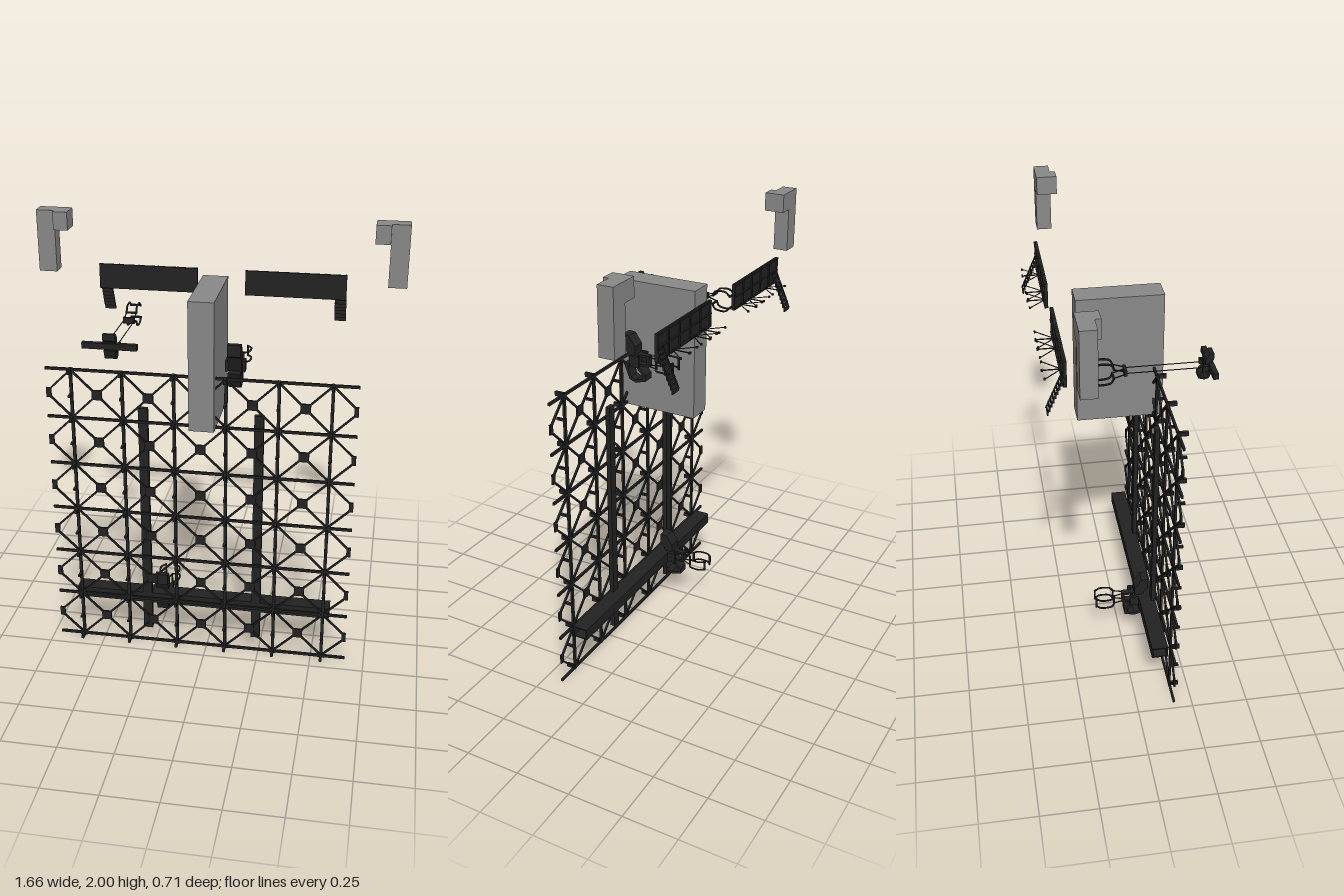
import * as THREE from 'three';

const dark = new THREE.MeshStandardMaterial({ color: 0x222222, side: THREE.DoubleSide });
const grey = new THREE.MeshStandardMaterial({ color: 0x888888 });

function add(parent, name, geometry, material = dark) {
  const mesh = new THREE.Mesh(geometry, material);
  mesh.name = name;
  parent.add(mesh);
  return mesh;
}

function group(parent, name) {
  const g = new THREE.Group();
  g.name = name;
  parent.add(g);
  return g;
}

// Box given by its lower and upper limits
function box(parent, name, x0, x1, y0, y1, z0, z1, material = dark) {
  const mesh = add(parent, name, new THREE.BoxGeometry(x1 - x0, y1 - y0, z1 - z0), material);
  mesh.position.set((x0 + x1) / 2, (y0 + y1) / 2, (z0 + z1) / 2);
  return mesh;
}

// Square bar between two points
function bar(parent, name, a, b, w, d = w) {
  const p = new THREE.Vector3(...a), q = new THREE.Vector3(...b);
  const mesh = add(parent, name, new THREE.BoxGeometry(w, d, p.distanceTo(q)));
  mesh.position.copy(p).add(q).multiplyScalar(0.5);
  mesh.lookAt(q);
  return mesh;
}

// Side profile of [z, y] points, extruded across x and centred
function sideProfile(parent, name, points, width, hole) {
  const toVec = (p) => new THREE.Vector2(p[0], p[1]);
  const shape = new THREE.Shape(points.map(toVec));
  if (hole) shape.holes.push(new THREE.Path(hole.map(toVec)));
  const geometry = new THREE.ExtrudeGeometry(shape, { depth: width, bevelEnabled: false });
  geometry.translate(0, 0, -width / 2).rotateY(-Math.PI / 2);
  return add(parent, name, geometry);
}

// Lattice: rails, posts, cross braces, centre plates and studs
function buildLattice(root) {
  const g = group(root, 'lattice');
  const step = 0.2306, left = -0.718, right = 0.662, z = 0.169;
  for (let r = 0; r <= 6; r++) {
    const y = 0.008 + r * 0.23;
    box(g, 'rail', left, right, y - 0.006, y + 0.006, z - 0.005, z + 0.005);
    for (let c = 0; c < 6; c++) {
      const x = -0.603 + c * step;
      box(g, 'nodeGusset', x - 0.016, x + 0.016, Math.max(0, y - 0.014), Math.min(1.394, y + 0.014), z - 0.003, z + 0.006);
      box(g, 'nodeStud', x - 0.006, x + 0.006, Math.max(0, y - 0.01), y + 0.01, z, 0.21);
      if (r === 6) continue;
      const mid = y + 0.115;
      box(g, 'middleStud', x - 0.006, x + 0.006, mid - 0.005, mid + 0.005, z, 0.208);
      for (const sx of [-1, 1]) for (const sy of [-1, 1]) {
        const end = [x + sx * (step / 2 - 0.018), mid + sy * 0.018, z];
        bar(g, 'brace', [x, mid + sy * 0.113, z], end, 0.009, 0.008);
      }
    }
    if (r === 6) continue;
    for (let c = 0; c <= 6; c++) {
      const x = -0.718 + c * step, mid = y + 0.115;
      const x0 = Math.max(left, x - 0.023), x1 = Math.min(right, x + 0.023);
      box(g, 'centrePlate', x0, x1, mid - 0.023, mid + 0.023, z - 0.004, z + 0.004);
    }
  }
  for (let c = 0; c < 6; c++) {
    const x = -0.603 + c * step;
    box(g, 'post', x - 0.007, x + 0.007, 0, 1.394, z - 0.005, z + 0.005);
  }
}

// Two pronged gripper made of curved window frames
function buildClaw(parent) {
  const g = group(parent, 'claw');
  for (const s of [-1, 1]) {
    const path = [[0.02, -0.034], [0.04, -0.044], [0.047, -0.07], [0.045, -0.1], [0.028, -0.12]];
    for (const y of [-0.022, 0.022]) {
      const curve = new THREE.CatmullRomCurve3(path.map(([x, z]) => new THREE.Vector3(s * x, y, z)));
      add(g, 'prongEdge', new THREE.TubeGeometry(curve, 12, 0.0045, 6));
    }
    for (const [x, z] of [path[0], path[4]]) {
      bar(g, 'prongEnd', [s * x, -0.026, z], [s * x, 0.026, z], 0.008);
    }
    for (const y of [-0.022, 0.022]) {
      bar(g, 'prongLink', [s * 0.006, y, 0.012], [s * 0.02, y, -0.034], 0.004);
    }
  }
}

// Gripper body: hooked head and a looped handle below
function buildBody(parent) {
  const g = group(parent, 'gripperBody');
  sideProfile(g, 'hookedHead', [[0.128, 0.113], [0.096, 0.11], [0.064, 0.065], [0.064, -0.02],
    [0.085, -0.022], [0.112, 0.05], [0.128, 0.06]], 0.06);
  sideProfile(g, 'handleLoop', [[0.123, -0.02], [0.053, -0.02], [0.016, -0.062], [0.016, -0.09],
    [0.064, -0.103], [0.096, -0.092]], 0.055,
  [[0.105, -0.032], [0.06, -0.032], [0.03, -0.065], [0.03, -0.08], [0.064, -0.09], [0.088, -0.08]]);
  for (const s of [-1, 1]) {
    box(g, 'sideArm', s * 0.038 - 0.006, s * 0.038 + 0.006, -0.025, 0.025, 0.04, 0.085);
  }
  box(g, 'armBridge', -0.044, 0.044, 0.012, 0.025, 0.055, 0.085);
  return g;
}

function buildGripper(root, name, x, y) {
  const g = group(root, name);
  buildBody(g);
  buildClaw(g);
  for (const ny of [-0.021, 0.021]) box(g, 'neck', -0.014, 0.014, ny - 0.005, ny + 0.005, 0.005, 0.07);
  box(g, 'neckEnd', -0.014, 0.014, -0.026, 0.026, 0.005, 0.018);
  g.position.set(x, y, 0);
}

// Long gripper turned on its side, with a crossbar and thin rods
function buildLongGripper(root) {
  const g = group(root, 'longGripper');
  const head = group(g, 'turnedHead');
  buildClaw(head);
  box(head, 'neckEnd', -0.014, 0.014, -0.026, 0.026, 0.008, 0.02);
  head.rotation.z = Math.PI / 2;
  head.position.z = -0.025;
  for (const x of [-0.024, 0.024]) bar(g, 'rod', [x, 0, -0.01], [x, 0, 0.3], 0.003);
  const body = buildBody(g);
  body.scale.set(0.9, 0.55, 0.55);
  body.position.z = 0.28;
  box(g, 'crossbar', -0.118, 0.118, -0.006, 0.02, 0.328, 0.35);
  g.position.set(-0.375, 1.565, 0);
}

// Wing panel with a louvred drop leg and rear wire stays
function buildWing(root, s) {
  const g = group(root, s > 0 ? 'leftWing' : 'rightWing');
  const span = (name, a, b, ...rest) => box(g, name, Math.min(s * a, s * b), Math.max(s * a, s * b), ...rest);
  span('panel', 0.11, 0.567, 1.625, 1.74, -0.276, -0.268);
  for (const y of [1.628, 1.682, 1.735]) span('panelRib', 0.11, 0.567, y - 0.003, y + 0.003, -0.284, -0.274);
  for (let i = 0; i <= 5; i++) {
    const x = 0.113 + i * 0.09;
    span('panelStile', x - 0.003, x + 0.003, 1.625, 1.74, -0.282, -0.274);
  }
  for (let i = 0; i < 9; i++) {
    const y = 1.67 - i * 0.0185, z = -0.28 - i * 0.0082;
    span('legSlat', 0.515, 0.567, y - 0.02, y, z - 0.0025, z + 0.0025);
  }
  for (const x of [0.517, 0.565]) bar(g, 'legStringer', [s * x, 1.685, -0.272], [s * x, 1.51, -0.348], 0.004, 0.006);
  for (const x of [0.435, 0.262, 0.18]) {
    const base = [s * x, 1.632, -0.275];
    bar(g, 'stay', base, [s * x, 1.632, -0.352], 0.004);
    for (const d of [-0.068, 0.068]) {
      bar(g, 'stay', base, [s * (x + d), 1.632, -0.345], 0.003);
      span('stayTip', x + d - 0.004, x + d + 0.004, 1.628, 1.636, -0.352, -0.344);
    }
    span('stayTip', x - 0.006, x + 0.006, 1.628, 1.636, -0.356, -0.348);
  }
  g.position.x = -0.004;
}

export function createModel() {
  const root = new THREE.Group();
  root.name = 'frameAssembly';
  buildLattice(root);

  // Upright beams and the hollow horizontal beam
  box(root, 'uprightBeam', -0.308, -0.265, 0.065, 1.217, 0.134, 0.155);
  box(root, 'uprightBeam', 0.212, 0.254, 0.065, 1.217, 0.134, 0.155);
  const beam = sideProfile(root, 'horizontalBeam', [[0.08, 0.207], [0.153, 0.207], [0.153, 0.26], [0.08, 0.26]],
    1.208, [[0.086, 0.213], [0.147, 0.213], [0.147, 0.254], [0.086, 0.254]]);
  beam.position.x = -0.026;

  // Central block and the two stepped corner blocks
  box(root, 'centralBlock', -0.07, 0.043, 1.15, 1.74, -0.172, 0.21, grey);
  for (const s of [-1, 1]) {
    const corner = group(root, s > 0 ? 'leftCornerBlock' : 'rightCornerBlock');
    const post = box(corner, 'cornerPost', -0.041, 0.041, 1.72, 2, -0.25, -0.182, grey);
    post.position.x = s * 0.787;
    const lug = box(corner, 'cornerLug', -0.033, 0.033, 1.917, 2, -0.25, -0.158, grey);
    lug.position.x = s * 0.713;
  }

  for (const s of [-1, 1]) buildWing(root, s);
  buildGripper(root, 'lowerGripper', -0.225, 0.235);
  buildGripper(root, 'upperGripper', 0.115, 1.415);
  buildLongGripper(root);
  return root;
}
